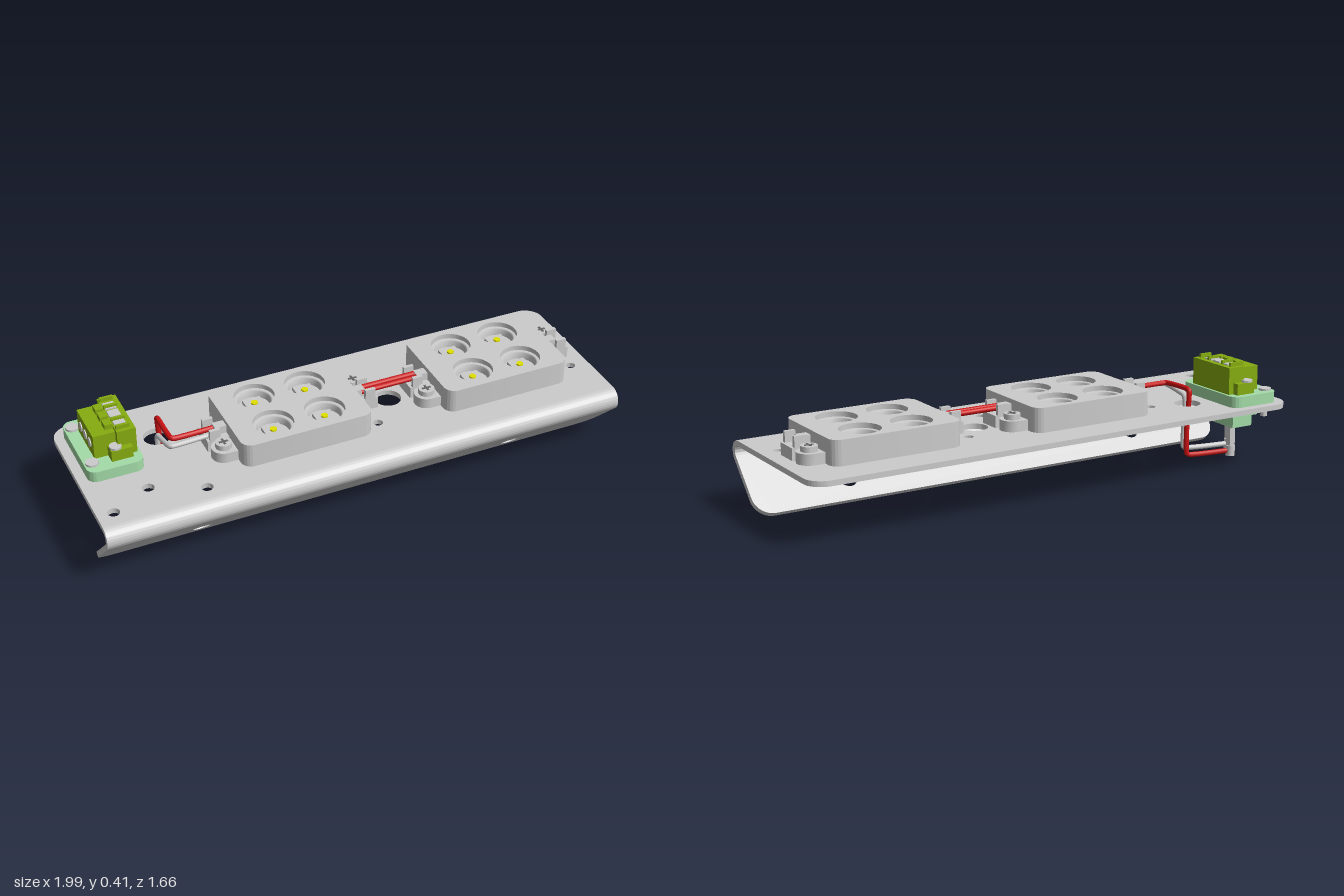
import * as THREE from 'three';
import { toCreasedNormals } from 'three/addons/utils/BufferGeometryUtils.js';

const grey = new THREE.MeshStandardMaterial({ color: 0xcccccc });
const paint = (color) => new THREE.MeshStandardMaterial({ color });
const red = paint(0xcc1111), paleGreen = paint(0xa4dca8), lime = paint(0x86ac10), yellow = paint(0xe0e000);

function add(parent, name, geometry, material = grey, x = 0, y = 0, z = 0) {
  const mesh = new THREE.Mesh(geometry, material);
  mesh.name = name;
  mesh.position.set(x, y, z);
  parent.add(mesh);
  return mesh;
}

// Box given by its limits
function block(parent, name, material, x0, x1, y0, y1, z0, z1) {
  return add(parent, name, new THREE.BoxGeometry(x1 - x0, y1 - y0, z1 - z0), material,
    (x0 + x1) / 2, (y0 + y1) / 2, (z0 + z1) / 2);
}

// Upright cylinder given by its lower and upper ends
function rod(parent, name, material, r, x, y0, y1, z, sides = 24) {
  return add(parent, name, toCreasedNormals(new THREE.CylinderGeometry(r, r, y1 - y0, sides), 0.7), material, x, (y0 + y1) / 2, z);
}

// Rectangle in x and z; r0 rounds the corners at z0, r1 those at z1
function outline(x0, x1, z0, z1, r0, r1, holes = []) {
  const s = new THREE.Shape();
  const corner = (cx, cz, r, a) => (r > 0 ? s.absarc(cx, cz, r, a, a + Math.PI / 2, false) : s.lineTo(cx, cz));
  s.moveTo(x0 + r0, z0);
  corner(x1 - r0, z0 + r0, r0, -Math.PI / 2);
  corner(x1 - r1, z1 - r1, r1, 0);
  corner(x0 + r1, z1 - r1, r1, Math.PI / 2);
  corner(x0 + r0, z0 + r0, r0, Math.PI);
  for (const [x, z, r] of holes) s.holes.push(new THREE.Path().absarc(x, z, r, 0, Math.PI * 2, true));
  return s;
}

// Flat slab whose upper face lies at y = 0
function slab(shape, depth) {
  const g = new THREE.ExtrudeGeometry(shape, { depth, bevelEnabled: false, curveSegments: 16 });
  return toCreasedNormals(g.rotateX(Math.PI / 2), 0.6);
}

function wire(parent, name, material, points) {
  const curve = new THREE.CatmullRomCurve3(points.map((p) => new THREE.Vector3(...p)), false, 'catmullrom', 0.15);
  add(parent, name, new THREE.TubeGeometry(curve, 80, 0.01, 10), material);
}

const TOP = 0.25, THICK = 0.02, HALF = 1.003;

function makeBracket() {
  const g = new THREE.Group();
  g.name = 'bracket';
  const holes = [
    [0.203, -0.029, 0.05], [-0.66, -0.157, 0.05],
    [0.286, -0.129, 0.018], [0.103, 0.097, 0.018], [0.93, 0.066, 0.018], [-0.51, -0.126, 0.018],
    [-0.788, 0.113, 0.022], [-0.601, 0.195, 0.022], [-0.942, 0.194, 0.022],
  ];
  add(g, 'plate', slab(outline(-HALF, HALF, -0.354, 0.255, 0.07, 0, holes), THICK), grey, 0, TOP, 0);

  // Rounded fold of 135 degrees along the front edge
  const R = 0.045, cz = 0.255, cy = TOP - R;
  const fold = new THREE.Shape();
  fold.absarc(-cz, cy, R, Math.PI / 2, Math.PI * 1.25, false);
  fold.absarc(-cz, cy, R - THICK, Math.PI * 1.25, Math.PI / 2, true);
  const foldGeo = new THREE.ExtrudeGeometry(fold, { depth: HALF * 2, bevelEnabled: false, curveSegments: 16 });
  foldGeo.translate(0, 0, -HALF).rotateY(Math.PI / 2);
  add(g, 'fold', toCreasedNormals(foldGeo, 0.6));

  // Sloping lip folded back under the plate
  const k = Math.SQRT1_2, y0 = cy - R * k, length = y0 / k;
  const lipHoles = [-0.62, 0.62].map((x) => [x, length - 0.09, 0.036]);
  const lip = add(g, 'lip', slab(outline(-HALF, HALF, 0, length, 0, 0.07, lipHoles), THICK), grey, 0, y0, cz + R * k);
  lip.rotation.x = Math.PI * 0.75;
  return g;
}

// Lamp module with four wells and a half-turn symmetric pair of end tabs
function makeLampModule() {
  const g = new THREE.Group();
  g.name = 'lampModule';
  const wells = [];
  for (const x of [-0.1, 0.1]) for (const z of [-0.09, 0.09]) wells.push([x, z, 0.075]);
  add(g, 'moduleBase', slab(outline(-0.252, 0.252, -0.19, 0.19, 0.04, 0.04), 0.045), grey, 0, 0.045, 0);
  add(g, 'moduleTop', slab(outline(-0.252, 0.252, -0.19, 0.19, 0.04, 0.04, wells), 0.047), grey, 0, 0.092, 0);
  const ring = [[0.058, 0], [0.06, 0.025], [0.066, 0.028], [0.077, 0.028]].map((p) => new THREE.Vector2(...p));
  for (const [x, z] of wells) {
    const seat = add(g, 'wellRing', new THREE.LatheGeometry(ring, 32), grey.clone(), x, 0.045, z);
    seat.material.side = THREE.DoubleSide;
    block(g, 'lampChip', grey, x - 0.035, x + 0.035, 0.045, 0.058, z - 0.035, z + 0.035);
    rod(g, 'lampDot', yellow, 0.013, x, 0.058, 0.064, z, 16);
  }
  for (const turn of [0, Math.PI]) {
    const end = new THREE.Group();
    end.name = 'endTab';
    end.rotation.y = turn;
    g.add(end);
    // Screw ear
    rod(end, 'screwEar', grey, 0.046, 0.29, 0, 0.04, -0.085);
    block(end, 'earWeb', grey, 0.24, 0.29, 0, 0.04, -0.131, -0.039);
    rod(end, 'screwHead', grey, 0.03, 0.29, 0.04, 0.06, -0.085);
    rod(end, 'screwShank', grey, 0.014, 0.29, -0.065, 0.04, -0.085, 16);
    for (const [w, d] of [[0.034, 0.008], [0.008, 0.034]]) {
      add(end, 'screwCross', new THREE.BoxGeometry(w, 0.004, d), paint(0x666666), 0.29, 0.06, -0.085);
    }
    // Wire clip
    block(end, 'clipFloor', grey, 0.24, 0.335, 0, 0.045, -0.045, 0.045);
    for (const z of [-0.038, 0.038]) block(end, 'clipWall', grey, 0.285, 0.325, 0.04, 0.085, z - 0.007, z + 0.007);
    block(end, 'clipBar', grey, 0.25, 0.295, 0.04, 0.075, -0.018, 0.018);
  }
  return g;
}

function makeTerminal() {
  const g = new THREE.Group();
  g.name = 'terminal';
  add(g, 'terminalBoard', slab(outline(-0.966, -0.758, -0.32, 0.01, 0.035, 0.035), 0.042), paleGreen, 0, 0.292, 0);
  block(g, 'boardUnderside', paleGreen, -0.905, -0.785, 0.2, 0.235, -0.275, -0.065);
  block(g, 'lowerSocket', paleGreen, -0.89, -0.8, 0.155, 0.2, -0.26, -0.08);
  // Stepped plug housing
  block(g, 'plugFront', lime, -0.92, -0.838, 0.292, 0.385, -0.25, -0.068);
  block(g, 'plugBack', lime, -0.838, -0.768, 0.292, 0.395, -0.27, -0.048);
  block(g, 'plugFlange', lime, -0.87, -0.79, 0.292, 0.335, -0.295, -0.025);
  for (const z of [-0.209, -0.159, -0.109]) {
    block(g, 'plugKey', lime, -0.868, -0.838, 0.385, 0.405, z - 0.018, z + 0.018);
    block(g, 'plugClamp', grey, -0.832, -0.79, 0.39, 0.4, z - 0.02, z + 0.02);
    const port = add(g, 'plugPort', new THREE.CylinderGeometry(0.018, 0.018, 0.006, 20), grey, -0.921, 0.338, z);
    port.rotation.z = Math.PI / 2;
  }
  for (const z of [-0.25, -0.2, -0.118, -0.068]) block(g, 'plugRib', lime, -0.835, -0.785, 0.395, 0.41, z - 0.005, z + 0.005);
  for (const z of [-0.275, -0.046]) {
    rod(g, 'boardScrew', grey, 0.024, -0.937, 0.292, 0.3, z);
    rod(g, 'boardPin', grey, 0.013, -0.937, 0.19, 0.26, z, 16);
    rod(g, 'plugScrew', grey, 0.022, -0.848, 0.335, 0.343, z);
  }
  // Solder pins below
  for (const [x, z] of [[-0.815, -0.23], [-0.87, -0.15]]) {
    block(g, 'pin', grey, x - 0.012, x + 0.012, 0.08, 0.16, z - 0.012, z + 0.012);
    rod(g, 'pinTip', grey, 0.018, x, 0.04, 0.08, z, 16);
  }
  return g;
}

export function createModel() {
  const model = new THREE.Group();
  model.name = 'lampBar';
  const bar = new THREE.Group();
  bar.name = 'bar';
  bar.rotation.y = THREE.MathUtils.degToRad(35);
  model.add(bar);
  bar.add(makeBracket(), makeTerminal());
  for (const x of [-0.19, 0.613]) {
    const lamp = makeLampModule();
    lamp.position.set(x, TOP, -0.037);
    bar.add(lamp);
  }
  // Wires between the modules, and from the first module through the plate to the pins
  for (const z of [-0.049, -0.023]) wire(bar, 'linkWire', red, [[0.09, 0.315, z], [0.21, 0.315, z], [0.33, 0.315, z]]);
  wire(bar, 'redWire', red, [[-0.48, 0.31, -0.045], [-0.64, 0.31, -0.045], [-0.645, 0.31, -0.185],
    [-0.64, 0.2, -0.185], [-0.64, 0.06, -0.19], [-0.815, 0.06, -0.23]]);
  wire(bar, 'greyWire', grey, [[-0.48, 0.305, -0.018], [-0.655, 0.3, -0.016], [-0.665, 0.275, -0.13],
    [-0.665, 0.2, -0.135], [-0.665, 0.07, -0.135], [-0.87, 0.06, -0.15]]);
  return model;
}
